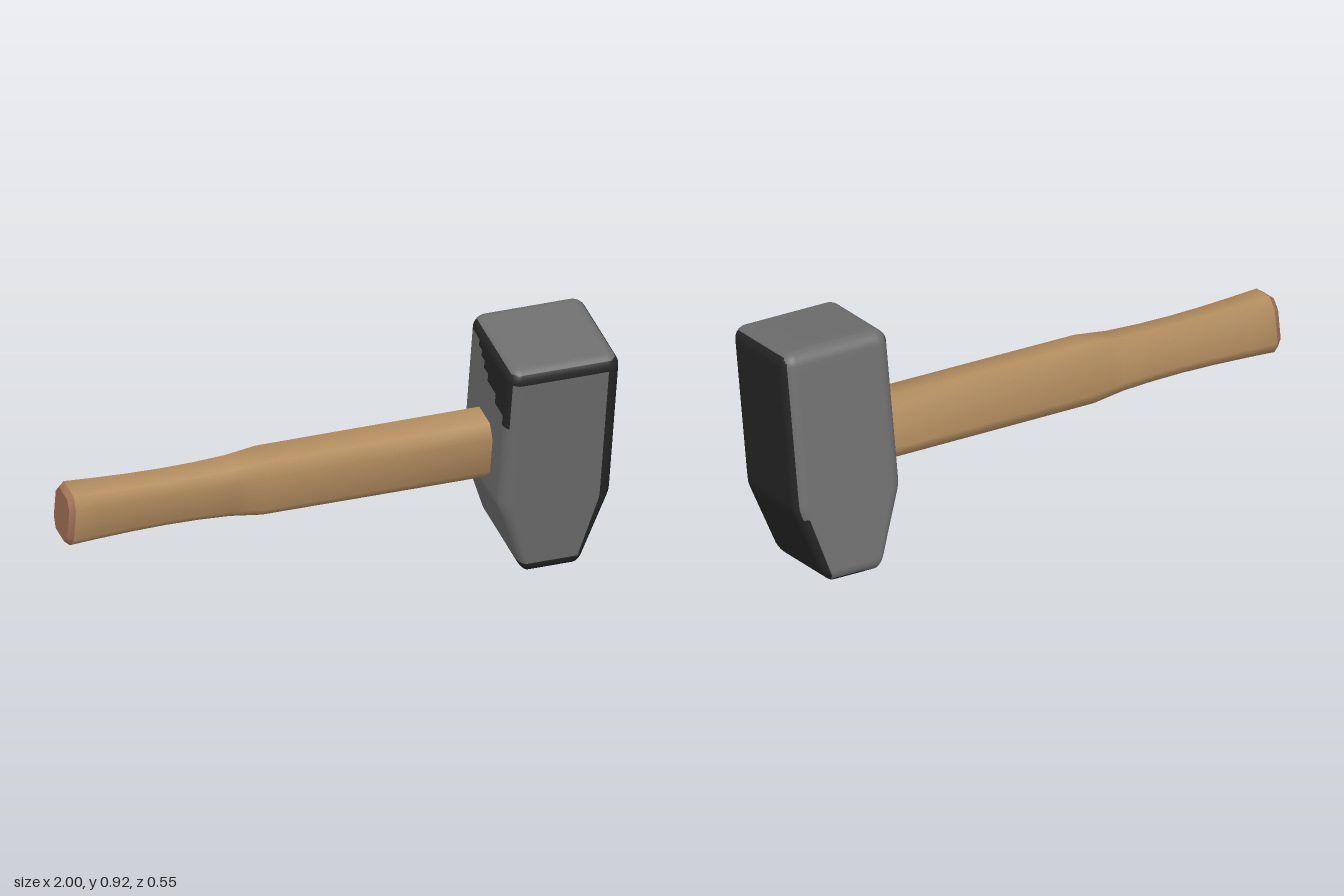
import * as THREE from 'three';
import { mergeVertices } from 'three/addons/utils/BufferGeometryUtils.js';

const mat = (name, color, side = THREE.FrontSide) => {
  const m = new THREE.MeshStandardMaterial({ color, side });
  m.name = name;
  return m;
};

const TILT = THREE.MathUtils.degToRad(10);
const HALF = new THREE.Vector3(0.21, 0.441, 0.207);
const R = 0.05, SEG = 5;

// Grid lines along one side: dense inside the rounded edges, plus chosen inner lines
function gridLines(half, inner) {
  const edge = [];
  for (let i = 0; i <= SEG; i++) edge.push(half - R + R * Math.tan((i / SEG) * Math.PI / 4));
  return [...edge.map((v) => -v).reverse(), ...inner, ...edge];
}

// Width factor of the head: straight above, narrowing to the peen below
function taper(y) {
  const t = (-0.147 - y) / 0.294, s = 0.03;
  return 1 - 0.5 * (t + Math.sqrt(t * t + s * s)) / 2;
}

// True where the block is painted black
function isDark(p) {
  const ex = (Math.abs(p.x) - HALF.x + R) / R;
  const ey = (Math.abs(p.y) - HALF.y + R) / R;
  const ez = (Math.abs(p.z) - HALF.z + R) / R;
  const topBand = p.y > 0 && ey > 0 && ey < 0.72;
  if (p.y > 0 && ey >= 0.72) return false;
  if (p.x > 0 && ex > 0) {
    if (p.z > 0) return true;
    return ex > (p.y < -0.2 ? 0.3 : 0.72);
  }
  if (p.y < 0 && ey > 0) {
    if (p.z > 0 && ez > 0) return true;
    if (p.x < 0 && ex > 0.7) return p.z > 0.05;
    return ey > 0.75 && (p.z > -HALF.z + R || p.x > -0.1);
  }
  if (topBand && p.z > 0 && ez > 0) return true;
  if (p.x < 0 && ex > 0.7) return topBand || p.y > 0.34 + 0.7 * (-0.05 - p.z);
  return false;
}

// Rounded block, tapered below, with its faces sorted into two paint groups
function headGeometry() {
  const lines = {
    x: gridLines(HALF.x, [-0.08, 0, 0.08]),
    y: gridLines(HALF.y, [-0.3, -0.22, -0.185, -0.165, -0.147, -0.13, -0.11, -0.07, 0.1, 0.2, 0.24, 0.28, 0.31, 0.34, 0.365]),
    z: gridLines(HALF.z, [-0.13, -0.1, -0.07, -0.04, 0, 0.08]),
  };
  const n = { x: lines.x.length - 1, y: lines.y.length - 1, z: lines.z.length - 1 };
  let geo = new THREE.BoxGeometry(1, 1, 1, n.x, n.y, n.z);
  geo.deleteAttribute('uv');
  geo.deleteAttribute('normal');
  geo.clearGroups();
  geo = mergeVertices(geo, 1e-4);
  const pos = geo.attributes.position, p = new THREE.Vector3(), core = new THREE.Vector3();
  const inner = HALF.clone().subScalar(R), outer = inner.clone().negate();
  const rounded = [];
  for (let i = 0; i < pos.count; i++) {
    p.fromBufferAttribute(pos, i);
    for (const a of ['x', 'y', 'z']) p[a] = lines[a][Math.round((p[a] + 0.5) * n[a])];
    core.copy(p).clamp(outer, inner);
    p.sub(core).normalize().multiplyScalar(R).add(core);
    rounded.push(p.clone());
    pos.setXYZ(i, p.x * taper(p.y), p.y, p.z);
  }
  const sorted = [[], []], idx = geo.index.array;
  for (let i = 0; i < idx.length; i += 6) {
    const quad = Array.from(idx.slice(i, i + 6));
    const c = new THREE.Vector3();
    for (const k of new Set(quad)) c.addScaledVector(rounded[k], 1 / new Set(quad).size);
    sorted[isDark(c) ? 1 : 0].push(...quad);
  }
  geo.setIndex([...sorted[0], ...sorted[1]]);
  geo.addGroup(0, sorted[0].length, 0);
  geo.addGroup(sorted[0].length, sorted[1].length, 1);
  geo.computeVertexNormals();
  return geo;
}

// Eight-sided cross-section of the shaft at x, half height hy, half depth hz
function ring(x, hy, hz) {
  const c = 0.6;
  return [[1, c], [c, 1], [-c, 1], [-1, c], [-1, -c], [-c, -1], [c, -1], [1, -c]]
    .map(([y, z]) => [x, y * hy, z * hz]);
}

function loft(sections, capStart) {
  const verts = sections.flatMap((s) => ring(...s)).flat();
  const index = [];
  for (let i = 0; i < sections.length - 1; i++) {
    for (let j = 0; j < 8; j++) {
      const a = i * 8 + j, d = i * 8 + (j + 1) % 8;
      index.push(a, d, a + 8, d, d + 8, a + 8);
    }
  }
  if (capStart) {
    const base = verts.length / 3;
    verts.push(...ring(...sections[0]).flat(), sections[0][0], 0, 0);
    for (let j = 0; j < 8; j++) index.push(base + 8, base + (j + 1) % 8, base + j);
  }
  const geo = new THREE.BufferGeometry();
  geo.setAttribute('position', new THREE.Float32BufferAttribute(verts, 3));
  geo.setIndex(index);
  geo.computeVertexNormals();
  return geo;
}

export function createModel() {
  const steel = mat('grey steel', 0x6e6e6e);
  const black = mat('black paint', 0x262626);
  const wood = mat('wood', 0xb28c5f);
  const endGrain = mat('end grain', 0xa57458);

  const model = new THREE.Group();
  model.name = 'hammer';
  const add = (name, geo, material, x, y) => {
    const mesh = new THREE.Mesh(geo, material);
    mesh.name = name;
    mesh.position.set(x, y, 0);
    mesh.rotation.x = TILT;
    model.add(mesh);
  };

  add('head', headGeometry(), [steel, black], 0.79, 0.4625);

  // Shaft: flared grip end, slim waist, thicker towards the head
  add('handle', loft([
    [-0.98, 0.105, 0.081], [-0.88, 0.1, 0.077], [-0.75, 0.095, 0.073], [-0.62, 0.0925, 0.072],
    [-0.5, 0.094, 0.073], [-0.38, 0.099, 0.077], [-0.33, 0.105, 0.081], [-0.26, 0.113, 0.087],
    [0.1, 0.114, 0.087], [0.62, 0.115, 0.087],
  ]), wood, 0, 0.478);
  add('handleEnd', loft([[-1, 0.09, 0.067], [-0.98, 0.105, 0.081]], true), endGrain, 0, 0.478);
  return model;
}
